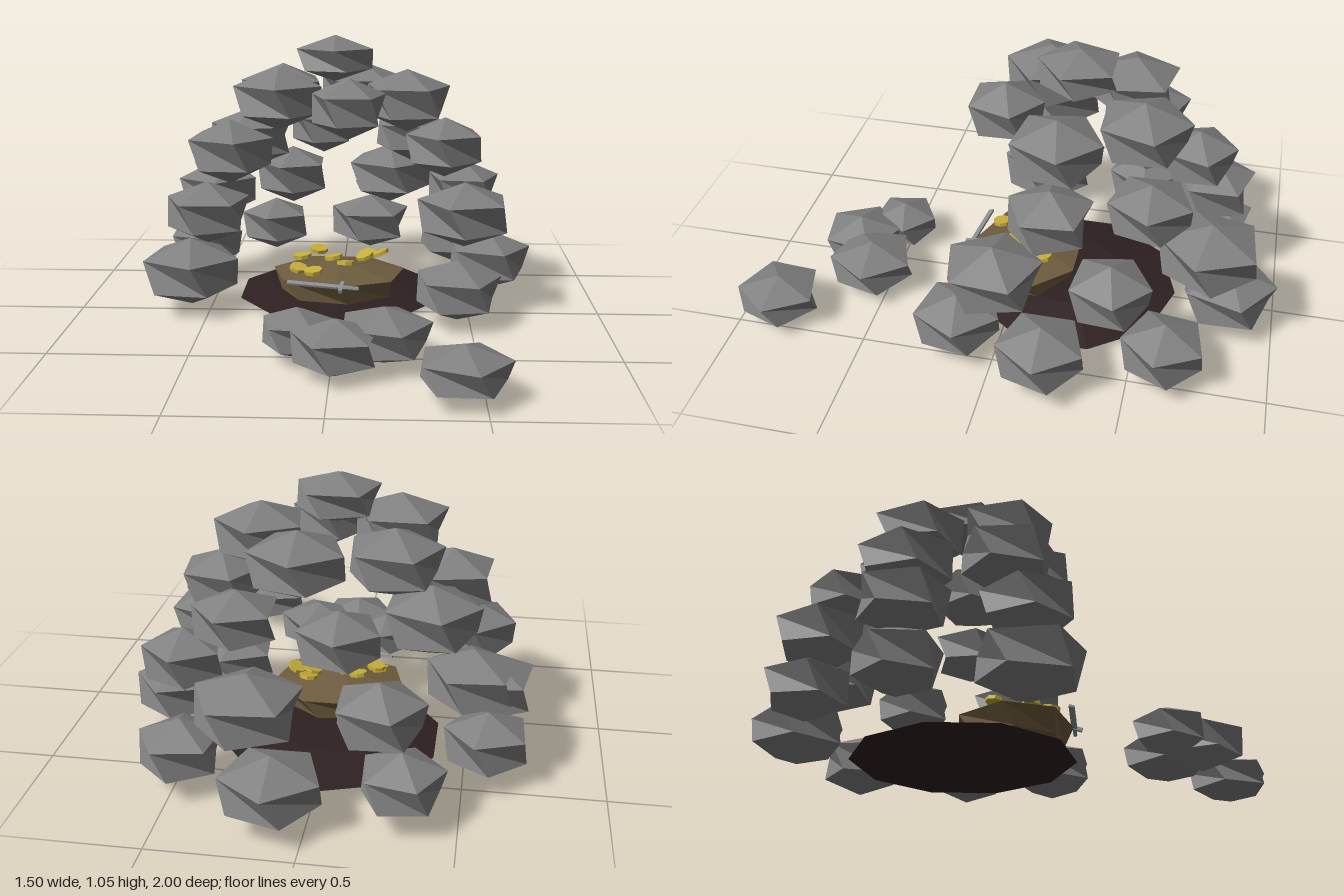
import * as THREE from 'three';

const mat = (name, color, extra = {}) => {
  const m = new THREE.MeshStandardMaterial({ color, flatShading: true, ...extra });
  m.name = name;
  return m;
};

// Faceted boulder: domed top, two twisted rings joined by slanting creases, pointed bottom
function rockGeometry(sides = 5, twist = 0.35, lower = 0.93) {
  const ring = (y, r, turn) => Array.from({ length: sides }, (_, i) => {
    const a = i / sides * Math.PI * 2 + turn;
    return [Math.sin(a) * r, y, Math.cos(a) * r];
  });
  const up = ring(0.45, 1, 0), low = ring(-0.45, lower, twist);
  const top = [0, 1, 0], bottom = [0, -1, 0], p = [];
  for (let i = 0; i < sides; i++) {
    const j = (i + 1) % sides;
    p.push(up[i], up[j], top, up[i], low[j], up[j], up[i], low[i], low[j], low[j], low[i], bottom);
  }
  const g = new THREE.BufferGeometry();
  g.setAttribute('position', new THREE.Float32BufferAttribute(p.flat(), 3));
  g.computeVertexNormals();
  return g;
}

export function createModel() {
  const root = new THREE.Group();
  root.name = 'treasureCave';
  const stone = mat('stone grey', 0x808080);
  const dirt = mat('dark earth', 0x2e2020);
  const mud = mat('brown mound', 0x6e5c3e);
  const gold = mat('gold', 0xc8b03c);
  const steel = mat('steel', 0x8c9094);

  const add = (parent, name, geo, material, x = 0, y = 0, z = 0) => {
    const m = new THREE.Mesh(geo, material);
    m.name = name;
    m.position.set(x, y, z);
    parent.add(m);
    return m;
  };
  const group = (name) => {
    const g = new THREE.Group();
    g.name = name;
    root.add(g);
    return g;
  };

  // Rings of boulders: x, y, z, radius, half height, yaw in degrees
  const rockGeo = rockGeometry();
  const courses = {
    baseRocks: [
      [-0.57, 0.155, 0, 0.19, 0.132, 8], [-0.58, 0.15, -0.42, 0.155, 0.12, 20],
      [-0.31, 0.16, -0.74, 0.15, 0.115, 60], [0.11, 0.155, -0.82, 0.18, 0.12, 36],
      [0.47, 0.15, -0.62, 0.155, 0.12, 10], [0.59, 0.16, -0.2, 0.165, 0.12, 18],
      [0.45, 0.135, 0.14, 0.165, 0.115, 25]],
    secondRocks: [
      [-0.5, 0.39, 0, 0.165, 0.12, 40], [-0.52, 0.39, -0.42, 0.165, 0.12, 5],
      [-0.23, 0.39, -0.72, 0.16, 0.125, 55], [0.2, 0.395, -0.74, 0.19, 0.13, 5],
      [0.5, 0.4, -0.42, 0.15, 0.12, 30], [0.48, 0.39, 0, 0.18, 0.125, 50]],
    thirdRocks: [
      [-0.42, 0.615, -0.07, 0.17, 0.125, 12], [-0.37, 0.61, -0.42, 0.175, 0.125, 50],
      [-0.09, 0.615, -0.65, 0.145, 0.11, 36], [0.28, 0.61, -0.52, 0.155, 0.11, 20],
      [0.41, 0.615, -0.19, 0.155, 0.118, 60]],
    fourthRocks: [
      [-0.23, 0.82, -0.07, 0.175, 0.12, 0], [0.04, 0.8, 0.05, 0.145, 0.115, 36],
      [0.26, 0.8, -0.18, 0.17, 0.122, 28], [0.08, 0.8, -0.46, 0.175, 0.12, 36],
      [-0.24, 0.8, -0.39, 0.17, 0.12, 62]],
    capRock: [[-0.02, 0.96, -0.21, 0.155, 0.09, 0]],
    rubble: [
      [-0.12, 0.1, 0.52, 0.13, 0.09, 30], [0.18, 0.11, 0.56, 0.165, 0.1, 20],
      [0.02, 0.1, 0.66, 0.155, 0.1, 45], [0.43, 0.1, 0.85, 0.157, 0.09, 14]],
  };
  for (const [name, rocks] of Object.entries(courses)) {
    const g = group(name);
    for (const [x, y, z, r, h, yaw] of rocks) {
      const m = add(g, 'rock', rockGeo, stone, x, y, z);
      m.scale.set(r, h, r);
      m.rotation.y = THREE.MathUtils.degToRad(yaw);
    }
  }

  // Cave floor and treasure mound
  add(root, 'caveFloor', new THREE.CylinderGeometry(0.2, 0.41, 0.04, 10), dirt, 0, 0.04, -0.21);
  const mound = add(root, 'mound', rockGeometry(7, 0.2, 0.85), mud, 0, 0.115, -0.03);
  mound.scale.set(0.26, 0.085, 0.22);

  // Scattered gold coins: x, y, z, tilt x, tilt z
  const coins = group('coins');
  const coinGeo = new THREE.CylinderGeometry(0.035, 0.035, 0.014, 8);
  for (const [x, y, z, tx, tz] of [
    [-0.09, 0.19, 0.1, 0.1, 0.1], [-0.14, 0.215, -0.02, 0, 0.1], [-0.08, 0.22, -0.1, 0.15, -0.1],
    [-0.02, 0.205, -0.04, -0.1, 0.2], [0.1, 0.205, -0.06, 0.1, 0.3], [0.16, 0.215, -0.07, -0.1, 0.4],
    [0.11, 0.2, -0.11, 0.2, 0.1], [-0.15, 0.18, 0.03, 0.2, -0.2], [0.03, 0.2, 0.02, -0.2, 0]]) {
    add(coins, 'coin', coinGeo, gold, x, y, z).rotation.set(tx, 0, tz);
  }

  // Sword leaning against the front of the mound
  const sword = group('sword');
  sword.position.set(-0.05, 0.16, 0.185);
  sword.rotation.set(0.3, -0.14, 0);
  add(sword, 'blade', new THREE.BoxGeometry(0.2, 0.008, 0.02), steel, -0.035);
  add(sword, 'guard', new THREE.BoxGeometry(0.014, 0.014, 0.06), steel, 0.07);
  const grip = add(sword, 'grip', new THREE.CylinderGeometry(0.008, 0.008, 0.06, 6), steel, 0.105);
  grip.rotation.z = Math.PI / 2;

  return root;
}
